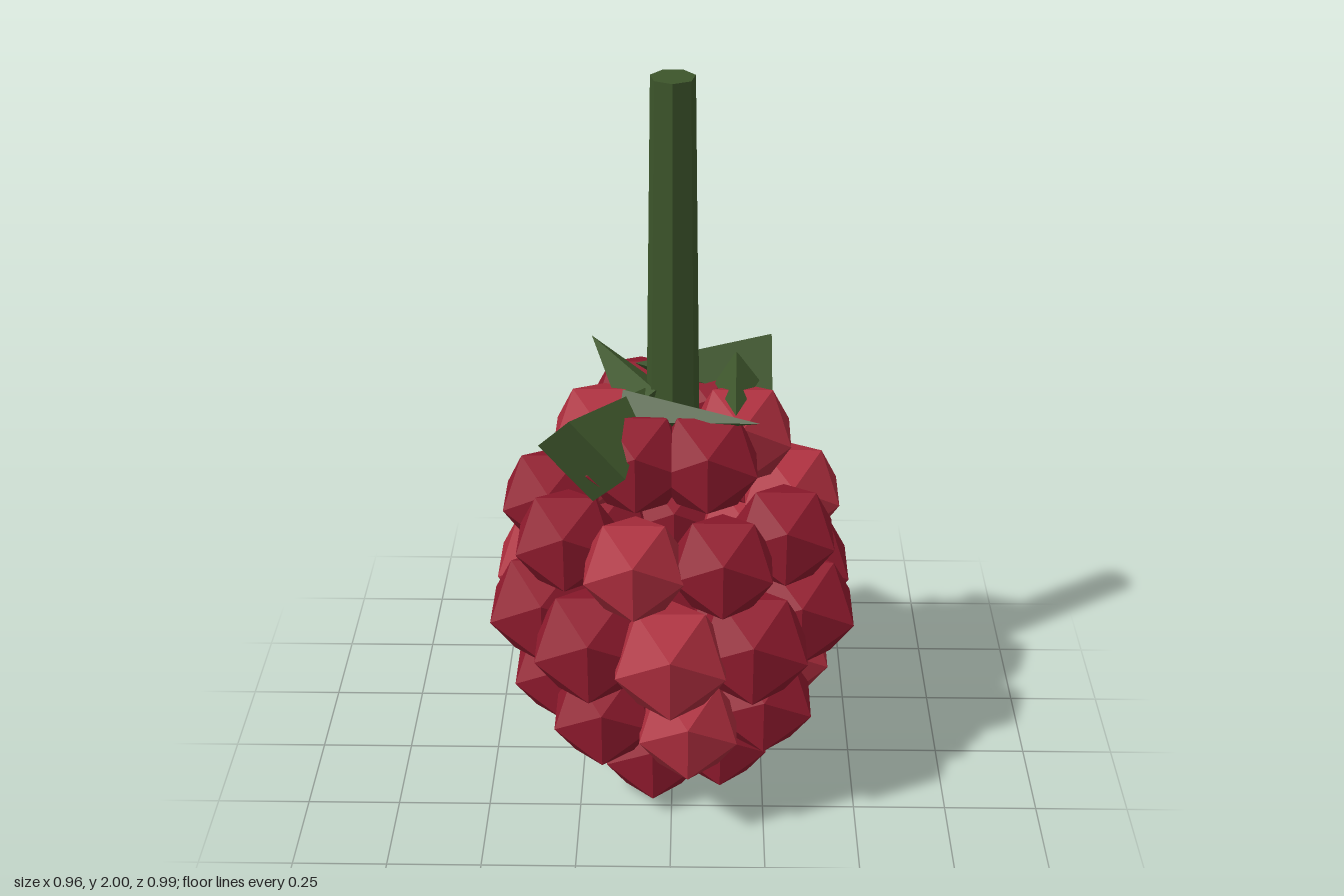
import * as THREE from 'three';

const material = (color, extra = {}) => new THREE.MeshStandardMaterial({ color, flatShading: true, ...extra });

export function createModel() {
  const model = new THREE.Group();
  const darkRed = material(0x8f1a2d);
  const lightRed = material(0xac2d3d);
  const green = material(0x3d552b);

  // Berry: stacked rings of faceted drupelets
  // y, ring radius, drupelet radius, count, first angle (from +z, degrees), lighter ones
  const rows = [
    [0.13, 0.163, 0.148, 5, -90, []],
    [0.318, 0.304, 0.15, 8, 8.5, [0, 2, 5]],
    [0.57, 0.356, 0.165, 10, 0, [0, 4, 7]],
    [0.82, 0.326, 0.147, 9, -16.5, [0, 3, 6]],
    [1.04, 0.18, 0.147, 6, 90, [0, 3]],
  ];
  const berry = new THREE.Group();
  berry.name = 'berry';
  for (const [y, ring, radius, count, start, light] of rows) {
    const geometry = new THREE.IcosahedronGeometry(radius, 0);
    for (let i = 0; i < count; i++) {
      const a = THREE.MathUtils.degToRad(start + (i * 360) / count);
      const drupelet = new THREE.Mesh(geometry, light.includes(i) ? lightRed : darkRed);
      drupelet.name = 'drupelet';
      drupelet.position.set(ring * Math.sin(a), y, ring * Math.cos(a));
      berry.add(drupelet);
    }
  }
  model.add(berry);

  // Stem: tapered seven-sided rod
  const stem = new THREE.Mesh(new THREE.CylinderGeometry(0.056, 0.07, 0.9, 7), green);
  stem.name = 'stem';
  stem.position.y = 1.55;
  model.add(stem);

  // Sepals: four-sided cones from a base centre to a tip
  const sepals = new THREE.Group();
  sepals.name = 'sepals';
  function addSepal(base, tip, halfWidth, halfHeight) {
    const from = new THREE.Vector3(...base);
    const to = new THREE.Vector3(...tip);
    const length = from.distanceTo(to);
    const geometry = new THREE.ConeGeometry(1, length, 4);
    geometry.translate(0, length / 2, 0);
    geometry.rotateX(Math.PI / 2);
    geometry.scale(halfWidth, halfHeight, 1);
    const sepal = new THREE.Mesh(geometry, green);
    sepal.name = 'sepal';
    sepal.position.copy(from);
    sepal.lookAt(to);
    sepals.add(sepal);
  }
  // Two broad ones with the base turned outward
  addSepal([-0.225, 1.085, 0.24], [-0.05, 1.18, 0.0], 0.14, 0.14);
  addSepal([0.22, 1.088, -0.2], [-0.1, 1.19, -0.1], 0.135, 0.14);
  // Narrow ones lying over the top of the berry
  addSepal([-0.12, 1.14, 0.08], [0.22, 1.17, 0.19], 0.055, 0.065);
  addSepal([-0.05, 1.13, 0.04], [-0.22, 1.2, -0.24], 0.09, 0.06);
  addSepal([0.165, 1.13, -0.15], [0.16, 1.17, 0.15], 0.07, 0.065);
  model.add(sepals);

  return model;
}
